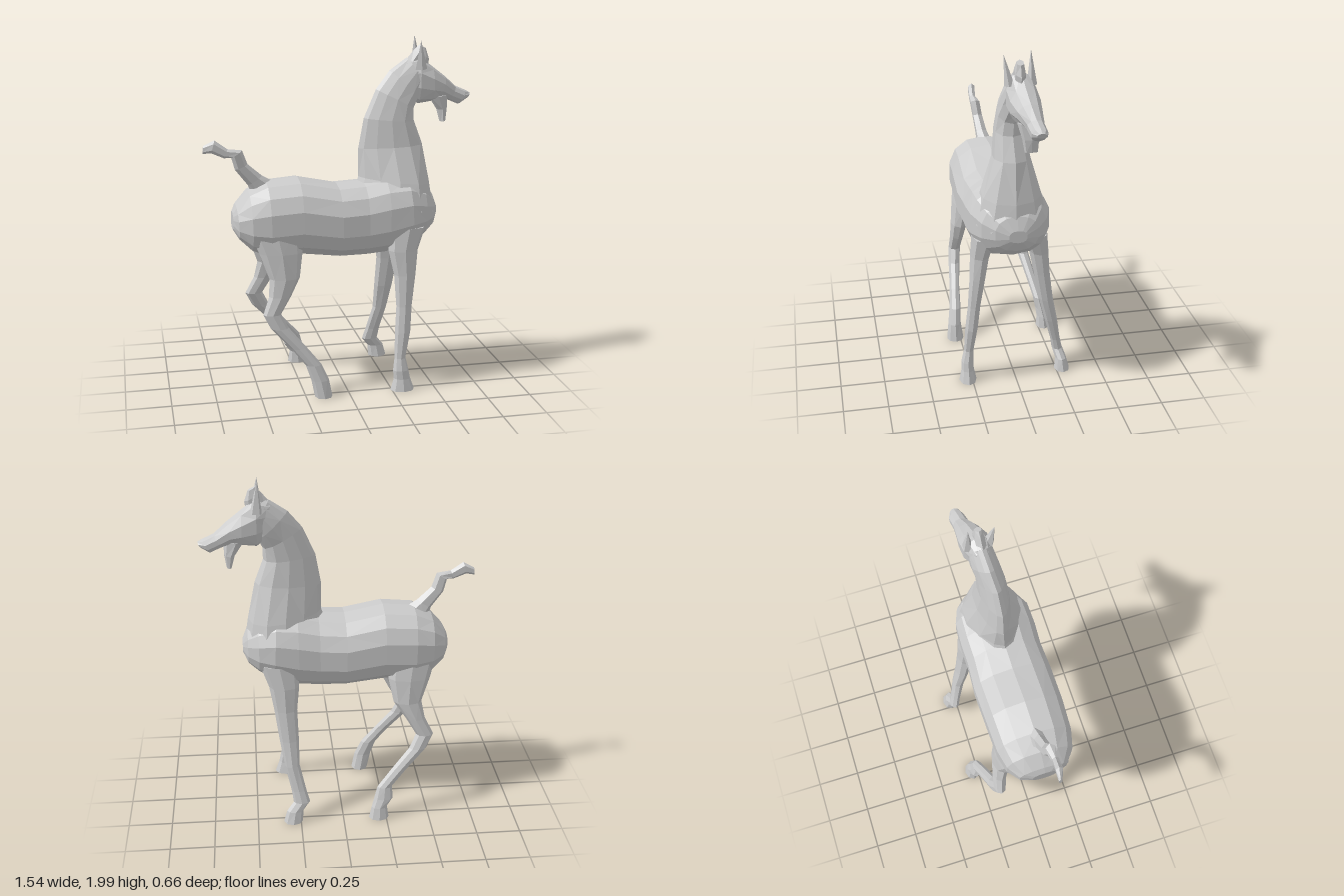
import * as THREE from 'three';

const material = new THREE.MeshStandardMaterial({ color: 0xcccccc, flatShading: true });

// Skin over cross-sections. Each station: [x1, y1, x2, y2, z, halfWidth],
// where the two points span the section in the side plane.
// power < 1 squares the section off, taper narrows it towards the first point.
function loft(name, stations, { sides = 10, power = 1, taper = 0 } = {}) {
  const pos = [], index = [];
  const shape = (v) => Math.sign(v) * Math.abs(v) ** power;
  stations.forEach(([x1, y1, x2, y2, z, w]) => {
    for (let j = 0; j < sides; j++) {
      const a = (j / sides) * Math.PI * 2;
      const c = shape(Math.cos(a)), s = shape(Math.sin(a));
      pos.push((x1 + x2) / 2 + c * (x1 - x2) / 2, (y1 + y2) / 2 + c * (y1 - y2) / 2,
        z + s * w * (1 - taper * c));
    }
  });
  const rows = stations.length;
  for (let i = 0; i < rows - 1; i++) {
    for (let j = 0; j < sides; j++) {
      const k = (j + 1) % sides;
      const a = i * sides + j, b = i * sides + k, c = a + sides, d = b + sides;
      // alternate the diagonals for an irregular faceted skin
      if ((i + j) % 2) index.push(a, b, d, a, d, c);
      else index.push(a, b, c, b, d, c);
    }
  }
  // end caps
  const last = (rows - 1) * sides;
  for (let j = 1; j < sides - 1; j++) {
    index.push(0, j + 1, j, last, last + j, last + j + 1);
  }
  const geometry = new THREE.BufferGeometry();
  geometry.setAttribute('position', new THREE.Float32BufferAttribute(pos, 3));
  geometry.setIndex(index);
  geometry.computeVertexNormals();
  const mesh = new THREE.Mesh(geometry, material);
  mesh.name = name;
  return mesh;
}

// Leg from level sections: [y, xBack, xFront, z, halfWidth]
const leg = (name, rows) =>
  loft(name, rows.map(([y, back, front, z, w]) => [front, y, back, y, z, w]), { sides: 8 });

function ear(name, x, y, z, tip) {
  const geometry = new THREE.ConeGeometry(0.035, 1, 5);
  geometry.translate(0, 0.5, 0);
  const mesh = new THREE.Mesh(geometry, material);
  const base = new THREE.Vector3(x, y, z);
  const dir = new THREE.Vector3(...tip).sub(base);
  mesh.position.copy(base);
  mesh.scale.set(1, dir.length(), 0.8);
  mesh.quaternion.setFromUnitVectors(new THREE.Vector3(0, 1, 0), dir.normalize());
  mesh.name = name;
  return mesh;
}

export function createModel() {
  const horse = new THREE.Group();
  horse.name = 'horse';

  // barrel, rump and chest
  horse.add(loft('body', [
    [-0.62, 1.05, -0.62, 0.95, 0.04, 0.07],
    [-0.60, 1.09, -0.59, 0.90, 0.04, 0.14],
    [-0.53, 1.17, -0.52, 0.83, 0.04, 0.195],
    [-0.43, 1.22, -0.42, 0.79, 0.04, 0.22],
    [-0.25, 1.235, -0.25, 0.80, 0.04, 0.228],
    [-0.03, 1.19, -0.03, 0.775, 0.04, 0.232],
    [0.12, 1.20, 0.12, 0.775, 0.04, 0.222],
    [0.24, 1.23, 0.24, 0.785, 0.04, 0.226],
    [0.36, 1.23, 0.38, 0.83, 0.04, 0.22],
    [0.46, 1.18, 0.46, 0.87, 0.035, 0.18],
    [0.52, 1.12, 0.52, 0.92, 0.03, 0.12],
    [0.55, 1.05, 0.55, 0.98, 0.03, 0.05],
  ], { sides: 14, power: 0.85 }));

  // neck, sharper along the crest
  horse.add(loft('neck', [
    [0.06, 1.10, 0.54, 1.02, 0.04, 0.19],
    [0.10, 1.22, 0.515, 1.18, 0.035, 0.155],
    [0.10, 1.38, 0.47, 1.40, 0.03, 0.095],
    [0.13, 1.55, 0.42, 1.53, 0.035, 0.078],
    [0.20, 1.71, 0.42, 1.60, 0.03, 0.072],
    [0.28, 1.81, 0.45, 1.66, 0.015, 0.072],
    [0.38, 1.88, 0.48, 1.74, 0.005, 0.065],
  ], { sides: 12, taper: 0.35 }));

  // skull and muzzle
  horse.add(loft('head', [
    [0.37, 1.87, 0.41, 1.65, 0.005, 0.055],
    [0.45, 1.89, 0.45, 1.62, 0, 0.082],
    [0.53, 1.83, 0.53, 1.63, -0.005, 0.082],
    [0.61, 1.77, 0.58, 1.645, -0.015, 0.066],
    [0.68, 1.71, 0.64, 1.63, -0.03, 0.046],
    [0.74, 1.685, 0.70, 1.605, -0.038, 0.044],
    [0.768, 1.67, 0.755, 1.64, -0.04, 0.024],
  ]));

  // open lower jaw
  horse.add(loft('lowerJaw', [
    [0.63, 1.67, 0.52, 1.65, -0.01, 0.055],
    [0.63, 1.585, 0.57, 1.58, -0.02, 0.045],
    [0.62, 1.515, 0.59, 1.51, -0.022, 0.035],
  ], { sides: 7 }));

  // ears and forelock
  horse.add(ear('leftEar', 0.45, 1.82, 0.06, [0.44, 1.98, 0.09]));
  horse.add(ear('rightEar', 0.45, 1.82, -0.055, [0.44, 2.0, -0.05]));
  horse.add(loft('forelock', [
    [0.36, 1.85, 0.50, 1.80, 0.01, 0.03],
    [0.42, 1.92, 0.51, 1.87, 0.01, 0.03],
    [0.45, 1.95, 0.49, 1.93, 0.01, 0.02],
  ], { sides: 6 }));

  // raised tail
  horse.add(loft('tail', [
    [-0.51, 1.15, -0.38, 1.21, 0.04, 0.045],
    [-0.53, 1.20, -0.45, 1.25, 0.05, 0.035],
    [-0.60, 1.29, -0.53, 1.32, 0.06, 0.03],
    [-0.62, 1.36, -0.56, 1.40, 0.07, 0.03],
    [-0.66, 1.36, -0.64, 1.41, 0.075, 0.02],
    [-0.73, 1.39, -0.71, 1.46, 0.07, 0.022],
    [-0.775, 1.385, -0.77, 1.43, 0.06, 0.01],
  ], { sides: 6 }));

  horse.add(leg('leftFrontLeg', [
    [0.95, 0.24, 0.46, 0.18, 0.07],
    [0.82, 0.24, 0.41, 0.20, 0.055],
    [0.68, 0.27, 0.395, 0.215, 0.045],
    [0.50, 0.28, 0.37, 0.235, 0.036],
    [0.35, 0.27, 0.36, 0.25, 0.036],
    [0.20, 0.265, 0.33, 0.265, 0.028],
    [0.13, 0.255, 0.345, 0.275, 0.035],
    [0.08, 0.26, 0.355, 0.275, 0.036],
    [0.01, 0.24, 0.38, 0.275, 0.05],
  ]));
  horse.add(leg('rightFrontLeg', [
    [0.95, 0.24, 0.46, -0.10, 0.07],
    [0.82, 0.24, 0.41, -0.13, 0.055],
    [0.68, 0.255, 0.385, -0.15, 0.045],
    [0.50, 0.25, 0.36, -0.18, 0.04],
    [0.35, 0.25, 0.335, -0.215, 0.036],
    [0.20, 0.215, 0.30, -0.25, 0.028],
    [0.13, 0.195, 0.29, -0.265, 0.03],
    [0.08, 0.235, 0.33, -0.28, 0.032],
    [0.01, 0.24, 0.35, -0.285, 0.045],
  ]));
  horse.add(leg('leftHindLeg', [
    [0.98, -0.55, -0.25, 0.17, 0.07],
    [0.84, -0.49, -0.25, 0.195, 0.06],
    [0.70, -0.44, -0.27, 0.215, 0.05],
    [0.60, -0.445, -0.32, 0.225, 0.042],
    [0.50, -0.48, -0.38, 0.235, 0.036],
    [0.42, -0.44, -0.34, 0.245, 0.034],
    [0.30, -0.33, -0.24, 0.26, 0.03],
    [0.20, -0.25, -0.16, 0.27, 0.034],
    [0.11, -0.22, -0.12, 0.28, 0.038],
    [0.01, -0.20, -0.10, 0.28, 0.05],
  ]));
  horse.add(leg('rightHindLeg', [
    [0.98, -0.55, -0.27, -0.09, 0.07],
    [0.84, -0.51, -0.27, -0.12, 0.06],
    [0.70, -0.46, -0.30, -0.145, 0.05],
    [0.60, -0.48, -0.37, -0.165, 0.042],
    [0.50, -0.53, -0.43, -0.18, 0.036],
    [0.42, -0.49, -0.39, -0.20, 0.034],
    [0.30, -0.375, -0.285, -0.23, 0.03],
    [0.20, -0.285, -0.20, -0.255, 0.028],
    [0.13, -0.29, -0.18, -0.27, 0.03],
    [0.08, -0.255, -0.165, -0.28, 0.034],
    [0.01, -0.265, -0.15, -0.285, 0.045],
  ]));

  return horse;
}
